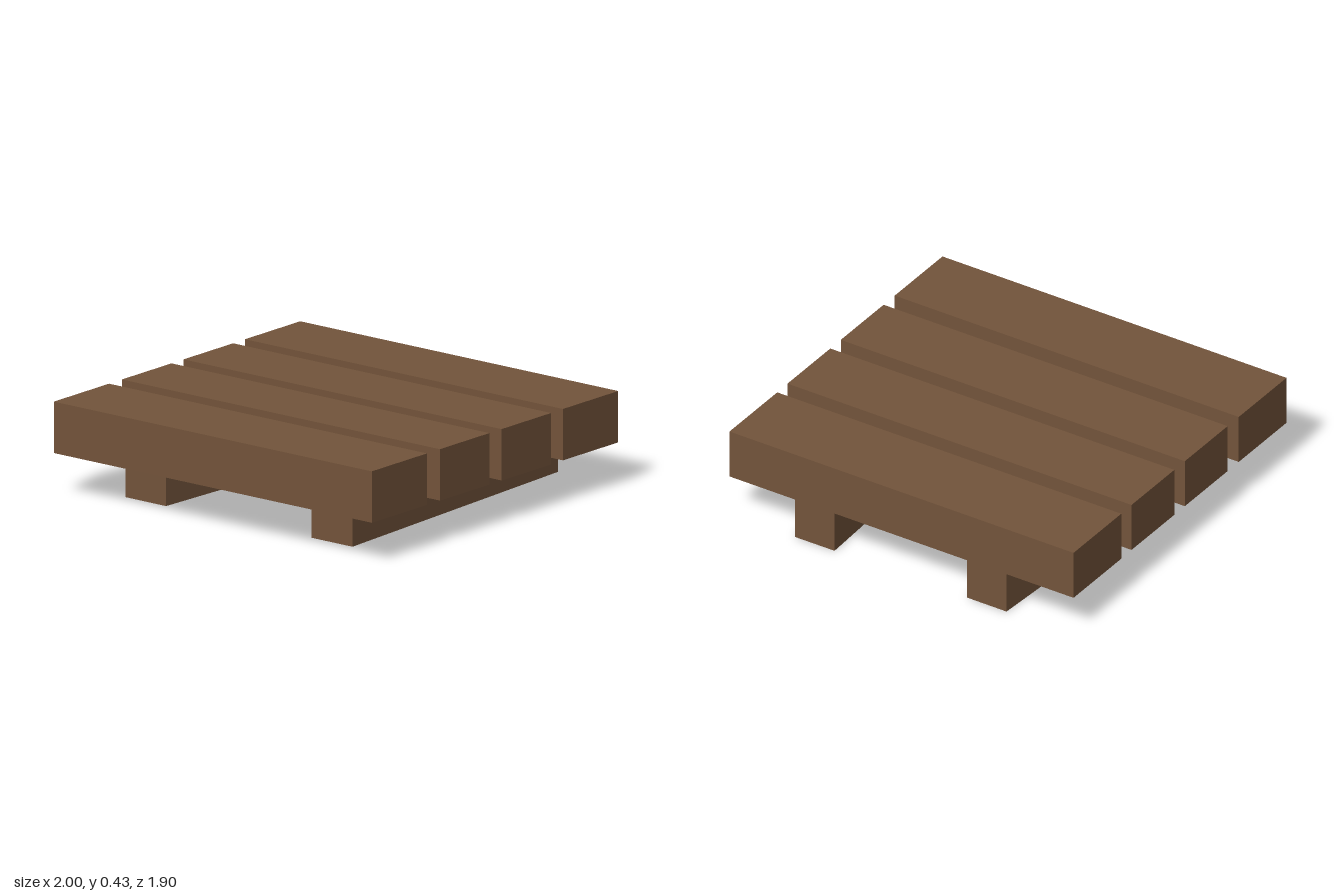
import * as THREE from 'three';

export function createModel() {
  const group = new THREE.Group();
  group.name = 'pallet';
  const wood = new THREE.MeshStandardMaterial({ color: 0x73543b });
  wood.name = 'brown wood';

  const add = (name, geometry) => {
    const mesh = new THREE.Mesh(geometry, wood);
    mesh.name = name;
    group.add(mesh);
    return mesh;
  };

  // Four deck planks, all turned slightly: centre x, centre z, width
  const bottom = 0.197, top = 0.434;
  [
    [-0.07, -0.67, 0.387],
    [-0.0225, -0.22, 0.347],
    [0.0215, 0.21, 0.347],
    [0.068, 0.665, 0.387],
  ].forEach(([x, z, width], i) => {
    const plank = add(`plank${i + 1}`, new THREE.BoxGeometry(1.829, top - bottom, width));
    plank.position.set(x, (top + bottom) / 2, z);
    plank.rotation.y = 0.1013;
  });

  // Two tapered runners, let slightly into the planks: footprint corners as x, z
  const runner = (name, corners) => {
    const shape = new THREE.Shape(corners.map(([x, z]) => new THREE.Vector2(x, -z)));
    const geometry = new THREE.ExtrudeGeometry(shape, { depth: 0.216, bevelEnabled: false });
    add(name, geometry.rotateX(-Math.PI / 2));
  };
  runner('rightRunner', [[-0.58, 0.74], [-0.348, 0.718], [-0.435, -0.827], [-0.645, -0.806]]);
  runner('leftRunner', [[0.48, 0.63], [0.716, 0.606], [0.475, -0.92], [0.265, -0.898]]);

  return group;
}
